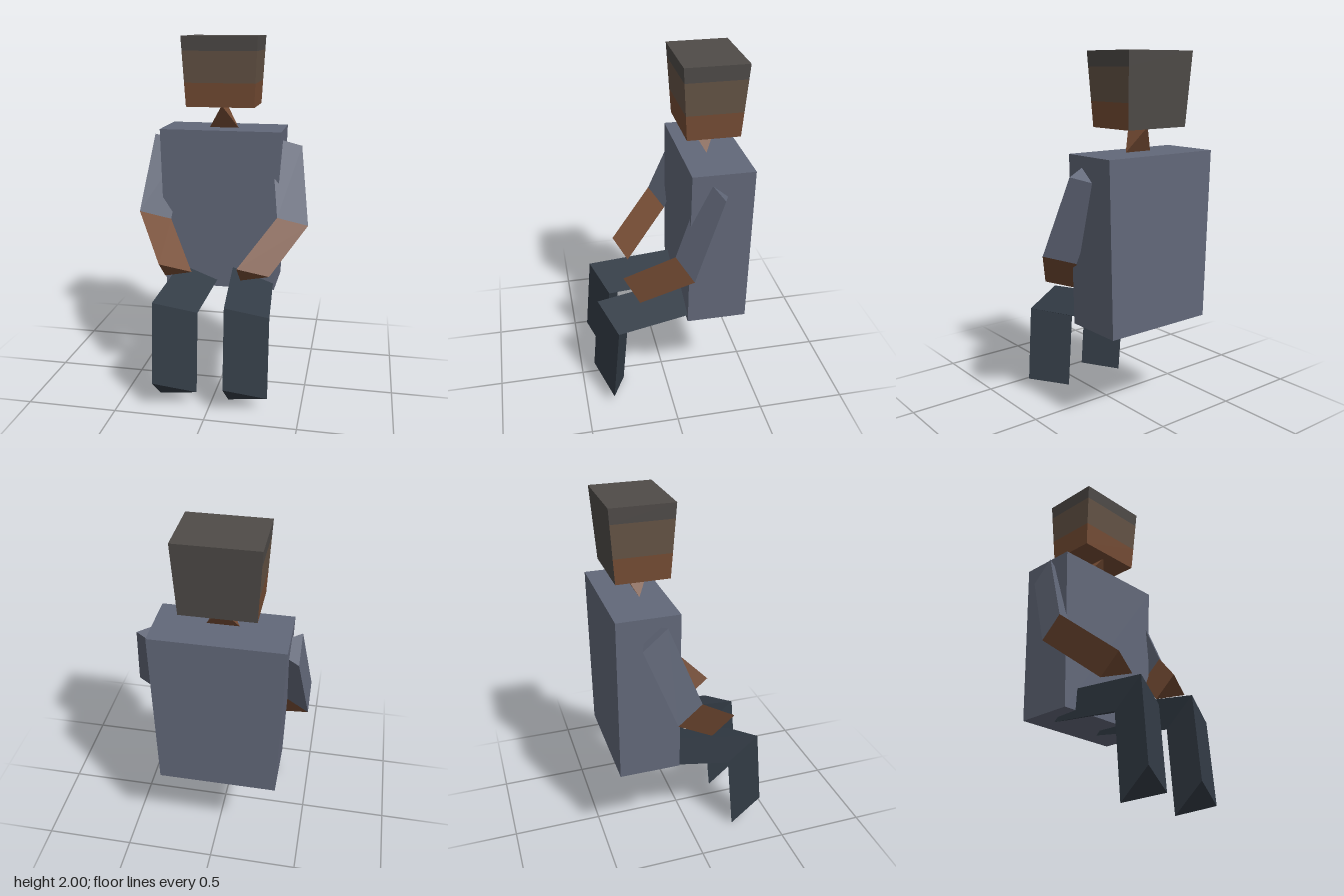
import * as THREE from 'three';

const mat = (name, color) => {
  const m = new THREE.MeshStandardMaterial({ color });
  m.name = name;
  return m;
};

// Flat-faced geometry from a list of triangles, each made of three corner points
function facets(triangles) {
  const g = new THREE.BufferGeometry();
  g.setAttribute('position', new THREE.Float32BufferAttribute(triangles.flat(2), 3));
  g.computeVertexNormals();
  return g;
}

// Three-sided limb piece: the same triangular section at both ends
function limb(start, end, [w, h, d]) {
  const ring = ([x, y, z]) => [[x, y, z], [x + w, y - h, z - d], [x, y - 2 * h, z - 2 * d]];
  const s = ring(start), e = ring(end);
  const tris = [[s[0], s[1], s[2]], [e[0], e[2], e[1]]];
  for (let i = 0; i < 3; i++) {
    const j = (i + 1) % 3;
    tris.push([s[j], s[i], e[i]], [s[j], e[i], e[j]]);
  }
  return facets(tris);
}

// Box between two heights; each rectangle is [x0, x1, z0, z1]
function taperedBox(y0, low, y1, high) {
  const g = new THREE.BoxGeometry(1, 1, 1);
  const p = g.attributes.position;
  for (let i = 0; i < p.count; i++) {
    const top = p.getY(i) > 0;
    const r = top ? high : low;
    p.setXYZ(i, r[p.getX(i) > 0 ? 1 : 0], top ? y1 : y0, r[p.getZ(i) > 0 ? 3 : 2]);
  }
  g.computeVertexNormals();
  return g;
}

export function createModel() {
  const model = new THREE.Group();
  model.name = 'seatedFigure';
  const shirt = mat('shirt', 0x626879);
  const skin = mat('skin', 0x754c34);
  const face = mat('upperFace', 0x645345);
  const hair = mat('hair', 0x4f4b48);
  const trousers = mat('trousers', 0x333c46);

  const add = (name, geometry, material) => {
    const mesh = new THREE.Mesh(geometry, material);
    mesh.name = name;
    model.add(mesh);
  };

  // Torso
  add('torso', taperedBox(0.55, [-0.355, 0.295, -0.43, -0.095], 1.48, [-0.38, 0.32, -0.43, -0.095]), shirt);

  // Neck: wide across at the bottom, deep at the top
  const n = [[-0.115, 1.48, -0.235], [0.055, 1.48, -0.235], [-0.03, 1.615, -0.155], [-0.03, 1.615, -0.31]];
  add('neck', facets([[n[0], n[1], n[2]], [n[1], n[0], n[3]], [n[1], n[3], n[2]], [n[0], n[2], n[3]]]), skin);

  // Head in three stacked bands, with hair over the whole back
  const bottom = [-0.225, 0.165, -0.385, -0.1], top = [-0.245, 0.185, -0.41, -0.073];
  const headAt = (y) => bottom.map((b, i) => b + (top[i] - b) * (y - 1.61) / 0.39);
  const bands = [['lowerFace', 1.61, 1.745, skin], ['upperFace', 1.745, 1.92, face], ['hairTop', 1.92, 2, hair]];
  for (const [name, y0, y1, m] of bands) {
    add(name, taperedBox(y0, headAt(y0), y1, headAt(y1)), [m, m, m, m, m, hair]);
  }

  // Arms and legs: front corner of each joint
  const armSection = [0.17, 0.055, 0.065];
  const legSection = [0.232, 0.074, 0.088];
  const limbs = [
    ['right', [-0.43, 1.44, -0.18], [-0.487, 1.01, -0.015], [-0.305, 0.78, 0.243], [-0.27, 0.675, -0.095], -0.305],
    ['left', [0.255, 1.44, -0.18], [0.315, 1.01, -0.015], [0.13, 0.78, 0.243], [0.05, 0.675, -0.095], 0.09],
  ];
  for (const [side, shoulder, elbow, wrist, hip, legX] of limbs) {
    const knee = [legX, 0.61, 0.392], foot = [legX, 0.152, 0.432];
    add(side + 'UpperArm', limb(shoulder, elbow, armSection), shirt);
    add(side + 'Forearm', limb(elbow, wrist, armSection), skin);
    add(side + 'Thigh', limb(hip, knee, legSection), trousers);
    add(side + 'Shin', limb(knee, foot, legSection), trousers);
  }
  return model;
}
